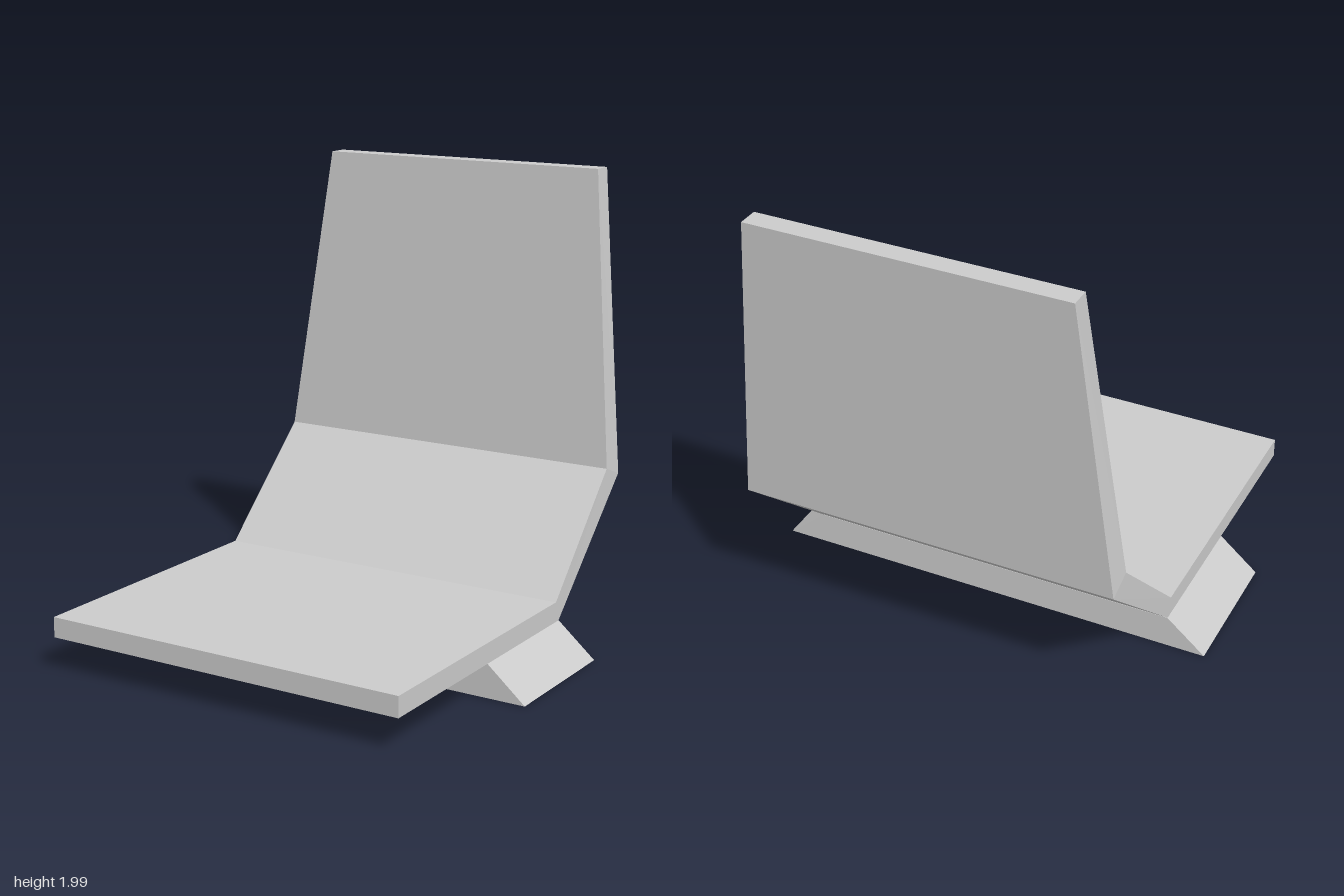
import * as THREE from 'three';

const material = new THREE.MeshStandardMaterial({ color: 0xcccccc, flatShading: true });

// Skins four-cornered cross-sections and caps both ends, keeping flat faces
function loft(sections) {
  const positions = [];
  const quad = (a, b, c, d) => {
    for (const p of [a, b, c, a, c, d]) positions.push(...p);
  };
  for (let s = 0; s < sections.length - 1; s++) {
    const near = sections[s], far = sections[s + 1];
    for (let i = 0; i < 4; i++) {
      const j = (i + 1) % 4;
      quad(near[i], far[i], far[j], near[j]);
    }
  }
  quad(...sections[0]);
  quad(...[...sections[sections.length - 1]].reverse());
  const geometry = new THREE.BufferGeometry();
  geometry.setAttribute('position', new THREE.Float32BufferAttribute(positions, 3));
  geometry.computeVertexNormals();
  return geometry;
}

export function createModel() {
  const model = new THREE.Group();
  model.name = 'leglessChair';

  // Bent seat and backrest: half width, inner [y, z], outer [y, z]
  const profile = [
    [0.83, [0.233, 0.987], [0.145, 0.987]],
    [0.83, [0.233, -0.293], [0.145, -0.32]],
    [0.82, [0.705, -0.775], [0.66, -0.895]],
    [0.68, [1.99, -0.897], [1.99, -0.987]],
  ];
  const shell = new THREE.Mesh(loft(profile.map(([w, inner, outer]) => [
    [w, ...inner], [-w, ...inner], [-w, ...outer], [w, ...outer],
  ])), material);
  shell.name = 'seatAndBackrest';
  model.add(shell);

  // Flared base under the rear of the seat
  const outline = new THREE.Shape([
    new THREE.Vector2(-1, 0), new THREE.Vector2(1, 0),
    new THREE.Vector2(0.83, 0.145), new THREE.Vector2(-0.83, 0.145),
  ]);
  const base = new THREE.Mesh(
    new THREE.ExtrudeGeometry(outline, { depth: 0.625, bevelEnabled: false }), material);
  base.position.z = -0.322;
  base.name = 'base';
  model.add(base);

  return model;
}
